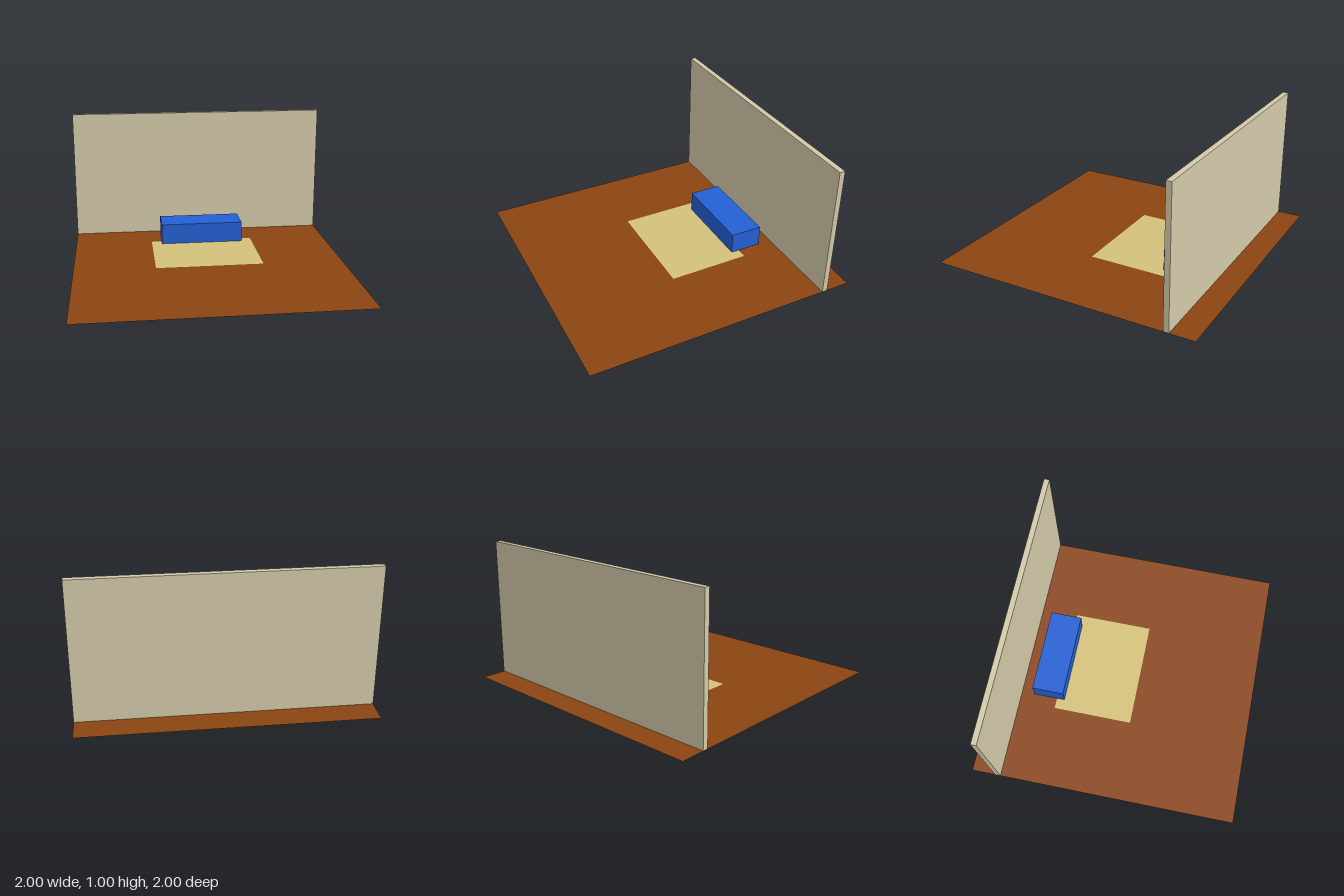
import * as THREE from 'three';

const material = (name, color, side = THREE.FrontSide) => {
  const m = new THREE.MeshStandardMaterial({ color, side });
  m.name = name;
  return m;
};

export function createModel() {
  const room = new THREE.Group();
  room.name = 'room';

  const brown = material('brown floor', 0x8b4513, THREE.DoubleSide);
  const sand = material('sand rug', 0xd4c27a, THREE.DoubleSide);
  const plaster = material('beige plaster', 0xd4caaa);
  const blue = material('blue upholstery', 0x2460d4);

  // Flat sheet lying at height y
  const sheet = (name, mat, width, depth, y, z) => {
    const mesh = new THREE.Mesh(new THREE.PlaneGeometry(width, depth).rotateX(-Math.PI / 2), mat);
    mesh.name = name;
    mesh.position.set(0, y, z);
    room.add(mesh);
  };

  // Block whose base rests just above the floor, avoiding coplanar faces
  const lift = 0.001;
  const block = (name, mat, width, height, depth, z) => {
    const mesh = new THREE.Mesh(new THREE.BoxGeometry(width, height - lift, depth), mat);
    mesh.name = name;
    mesh.position.set(0, (height + lift) / 2, z);
    room.add(mesh);
  };

  sheet('floor', brown, 2, 2, 0, 0);
  sheet('rug', sand, 0.8, 0.6, 0.002, -0.2);
  block('backWall', plaster, 2, 1, 0.04, -0.8);
  block('sofa', blue, 0.64, 0.16, 0.24, -0.56);

  return room;
}
